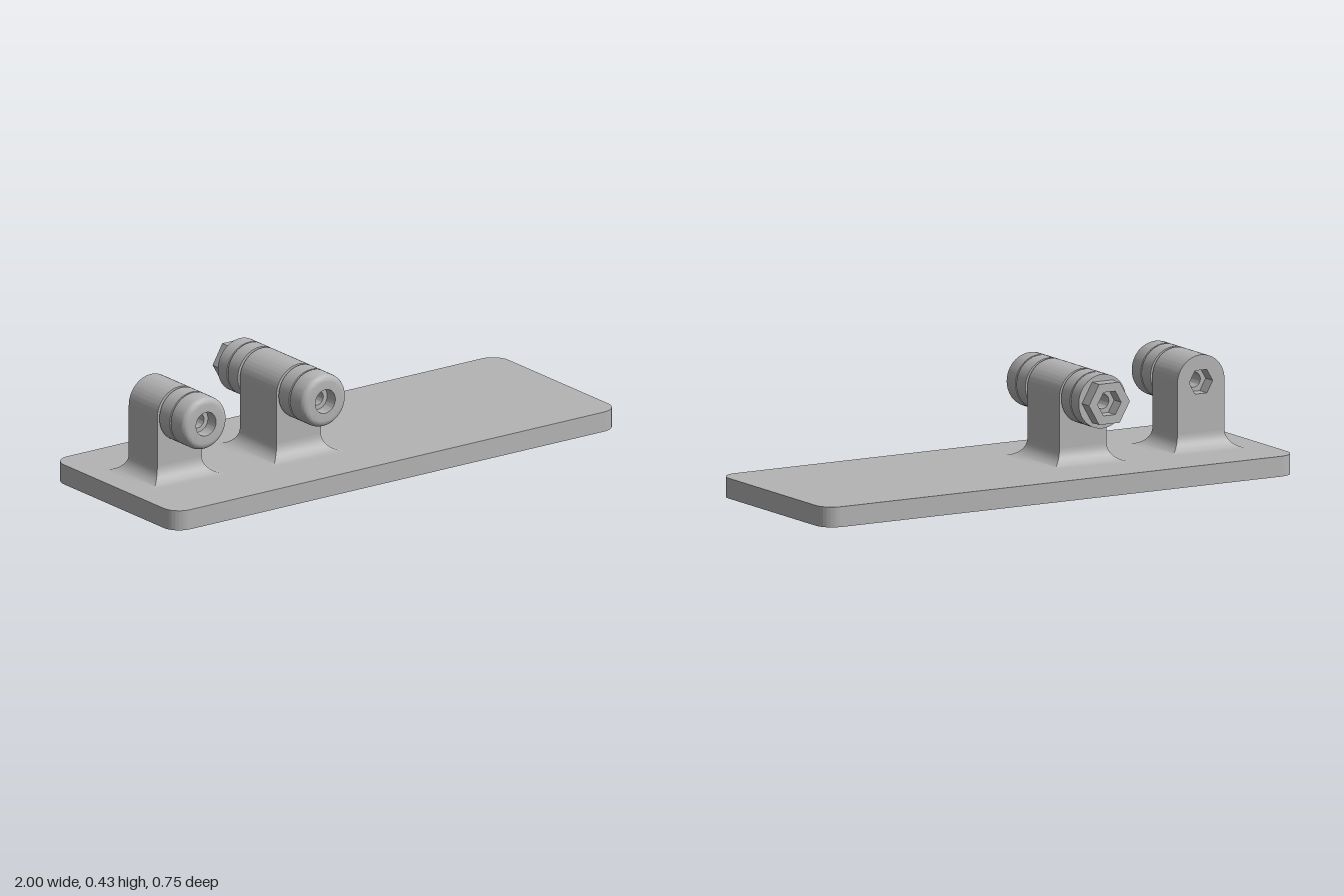
import * as THREE from 'three';
import { toCreasedNormals } from 'three/addons/utils/BufferGeometryUtils.js';

const AXIS_Y = 0.325;   // height of the pivot axis
const BASE_H = 0.075;
const R = 0.1;          // barrel radius
const PIN = 0.0615;     // core visible in the grooves
const BORE = 0.0275;    // through hole
const BACK = -0.1125;   // rear face of both posts
const FILLET = 0.0625;

const grey = new THREE.MeshStandardMaterial({ color: 0xb4b4b4 });
grey.name = 'plain grey';

function add(parent, name, geometry) {
  const mesh = new THREE.Mesh(toCreasedNormals(geometry, 0.5), grey);
  mesh.name = name;
  parent.add(mesh);
  return mesh;
}

// Extrude a shape along z between two depths
function slab(shape, z0, z1) {
  return new THREE.ExtrudeGeometry(shape, { depth: z1 - z0, bevelEnabled: false, curveSegments: 24 })
    .translate(0, 0, z0);
}

// Revolve a closed [radius, z] outline around the z axis
function turned(points) {
  const outline = [...points, points[0]].map(([r, z]) => new THREE.Vector2(r, z));
  return new THREE.LatheGeometry(outline, 48).rotateX(Math.PI / 2);
}

function ring(inner, outer, z0, z1) {
  return turned([[inner, z0], [outer, z0], [outer, z1], [inner, z1]]);
}

function hexPoints(radius) {
  return Array.from({ length: 6 }, (_, i) => {
    const a = i * Math.PI / 3;
    return new THREE.Vector2(radius * Math.cos(a), radius * Math.sin(a));
  });
}
const hexHole = () => new THREE.Path(hexPoints(0.05));
const roundHole = () => new THREE.Path().absarc(0, 0, BORE, 0, Math.PI * 2, true);

// Round-topped post outline, centred on the pivot axis
function archShape(hole) {
  const s = new THREE.Shape();
  s.moveTo(-R, BASE_H - AXIS_Y);
  s.lineTo(R, BASE_H - AXIS_Y);
  s.absarc(0, 0, R, 0, Math.PI, false);
  s.closePath();
  s.holes.push(hole);
  return s;
}

// Concave mitred skirt around the foot of a post
function filletGeometry(z0, z1) {
  const pos = [], steps = 12;
  const signs = [[-1, 1], [1, 1], [1, -1], [-1, -1]];
  const corner = (side, step) => {
    const a = step / steps * Math.PI / 2;
    const off = FILLET * (1 - Math.cos(a));
    const [sx, sz] = signs[side % 4];
    return [sx * (R + off), BASE_H - AXIS_Y + FILLET * (1 - Math.sin(a)), sz > 0 ? z1 + off : z0 - off];
  };
  for (let side = 0; side < 4; side++) {
    for (let i = 0; i < steps; i++) {
      const a = corner(side, i), b = corner(side + 1, i);
      const c = corner(side, i + 1), d = corner(side + 1, i + 1);
      pos.push(...a, ...c, ...d, ...a, ...d, ...b);
    }
  }
  const g = new THREE.BufferGeometry();
  g.setAttribute('position', new THREE.Float32BufferAttribute(pos, 3));
  g.computeVertexNormals();
  return g;
}

// Rounded front cap with a counterbored hole
function capGeometry(z0, z1) {
  const round = 0.025, pts = [[BORE, z0], [R, z0]];
  for (let i = 0; i <= 6; i++) {
    const a = i / 6 * Math.PI / 2;
    pts.push([R - round + round * Math.cos(a), z1 - round + round * Math.sin(a)]);
  }
  pts.push([0.045, z1], [0.045, z1 - 0.05], [BORE, z1 - 0.05]);
  return turned(pts);
}

// Post, fillet and the stack of parts on its front
function hinge(name, x, front, hexSocket) {
  const g = new THREE.Group();
  g.name = name;
  g.position.set(x, AXIS_Y, 0);
  const split = hexSocket ? BACK + 0.05 : BACK;
  if (hexSocket) add(g, 'postSocket', slab(archShape(hexHole()), BACK, split));
  add(g, 'post', slab(archShape(roundHole()), split, front));
  add(g, 'fillet', filletGeometry(BACK, front));
  add(g, 'frontPin', ring(BORE, PIN, front, front + 0.0825));
  add(g, 'frontWasher', ring(PIN, R, front + 0.0125, front + 0.076));
  add(g, 'frontCap', capGeometry(front + 0.0825, front + 0.1625));
  return g;
}

export function createModel() {
  const model = new THREE.Group();
  model.name = 'hingePlate';

  // Base plate with rounded corners
  const w = 1, d = 0.375, r = 0.07;
  const plate = new THREE.Shape();
  plate.absarc(w - r, d - r, r, 0, Math.PI / 2);
  plate.absarc(-w + r, d - r, r, Math.PI / 2, Math.PI);
  plate.absarc(-w + r, -d + r, r, Math.PI, Math.PI * 1.5);
  plate.absarc(w - r, -d + r, r, Math.PI * 1.5, Math.PI * 2);
  plate.closePath();
  add(model, 'basePlate', slab(plate, 0, BASE_H).rotateX(-Math.PI / 2));

  // Short hinge has its hex socket in the post itself
  model.add(hinge('shortHinge', -0.75, 0.0625, true));

  // Long hinge carries more rings and a hex nut behind
  const long = hinge('longHinge', -0.25, 0.1125, false);
  add(long, 'rearPin', ring(BORE, PIN, -0.1925, BACK));
  add(long, 'rearWasher', ring(PIN, R, -0.1865, -0.125));
  add(long, 'rearRing', ring(BORE, R, -0.2475, -0.1925));
  const nut = new THREE.Shape(hexPoints(0.0866));
  nut.holes.push(hexHole());
  add(long, 'hexNut', slab(nut, -0.2975, -0.2475));
  model.add(long);

  return model;
}
